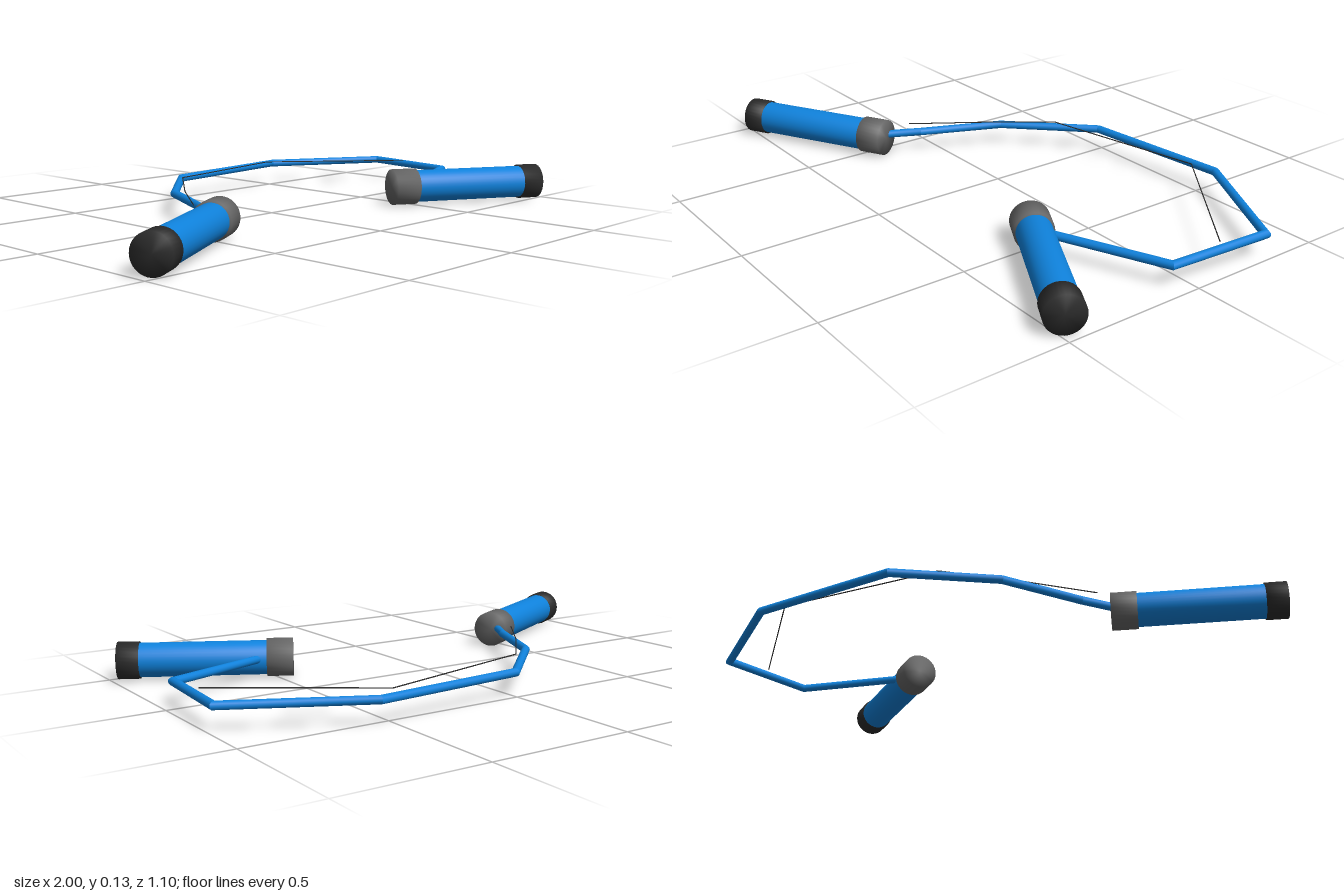
import * as THREE from 'three';
import { mergeVertices } from 'three/addons/utils/BufferGeometryUtils.js';

const material = (name, color) => {
  const m = new THREE.MeshStandardMaterial({ color });
  m.name = name;
  return m;
};

// Mitred polyline tube with closed ends; points are [x, y, z]
function polyTube(points, r, sides) {
  const P = points.map((p) => new THREE.Vector3(...p));
  const up = new THREE.Vector3(0, 1, 0);
  const dirs = P.slice(1).map((p, i) => p.clone().sub(P[i]).normalize());
  const pos = [], index = [];
  const ring = (i, radius) => {
    const d0 = dirs[Math.max(i - 1, 0)], d1 = dirs[Math.min(i, dirs.length - 1)];
    const t = d0.clone().add(d1).normalize();
    const side = up.clone().cross(t).normalize();
    const miter = 1 / t.dot(d1);
    for (let j = 0; j < sides; j++) {
      const a = (j / sides) * Math.PI * 2;
      const v = P[i].clone().addScaledVector(side, Math.cos(a) * radius * miter)
        .addScaledVector(up, Math.sin(a) * radius);
      pos.push(v.x, v.y, v.z);
    }
  };
  const span = (i0, r0, i1, r1) => {
    const s = pos.length / 3;
    ring(i0, r0);
    ring(i1, r1);
    for (let j = 0; j < sides; j++) {
      const k = (j + 1) % sides;
      index.push(s + j, s + k, s + sides + j, s + k, s + sides + k, s + sides + j);
    }
  };
  const last = P.length - 1;
  span(0, 0, 0, r);
  for (let i = 0; i < last; i++) span(i, r, i + 1, r);
  span(last, r, last, 0);
  const g = new THREE.BufferGeometry();
  g.setAttribute('position', new THREE.Float32BufferAttribute(pos, 3));
  g.setIndex(index);
  g.computeVertexNormals();
  return g;
}

// Cylinder along local x with normals shared across its rims
function softCylinder(r, from, to) {
  let g = new THREE.CylinderGeometry(r, r, to - from, 32);
  g.rotateZ(-Math.PI / 2).translate((from + to) / 2, 0, 0);
  g.deleteAttribute('normal');
  g.deleteAttribute('uv');
  g = mergeVertices(g, 1e-5);
  g.computeVertexNormals();
  return g;
}

export function createModel() {
  const blue = material('blue plastic', 0x0f82dc);
  const grey = material('grey collar', 0x666666);
  const black = material('black rubber', 0x2b2b2b);
  const model = new THREE.Group();
  model.name = 'skippingRope';
  const add = (parent, name, geometry, mat) => {
    const mesh = new THREE.Mesh(geometry, mat);
    mesh.name = name;
    parent.add(mesh);
  };

  // Two handles, mirrored, each running inward from its end cap
  for (const side of [-1, 1]) {
    const handle = new THREE.Group();
    handle.name = side < 0 ? 'rightHandle' : 'leftHandle';
    handle.position.set(side * 0.968, 0.068, 0.49);
    handle.rotation.y = side < 0 ? 0.503 : Math.PI - 0.503;
    add(handle, 'endCap', softCylinder(0.065, 0, 0.075), black);
    add(handle, 'grip', softCylinder(0.06, 0.06, 0.53), blue);
    add(handle, 'collar', softCylinder(0.067, 0.51, 0.602), grey);
    model.add(handle);
  }

  // Main cord, ends sunk into the handles
  add(model, 'cord', polyTube([
    [-0.48, 0.07, 0.21], [-0.40, 0.075, 0.07], [-0.273, 0.078, -0.217],
    [-0.005, 0.08, -0.484], [0.55, 0.082, -0.537], [0.979, 0.08, -0.307],
    [0.947, 0.075, 0.061], [0.5, 0.07, 0.245],
  ], 0.0145, 12), blue);

  // Fine strand lying just above the cord
  add(model, 'strand', polyTube([
    [-0.455, 0.094, 0.088], [-0.3, 0.098, -0.13], [-0.112, 0.105, -0.356],
    [0.478, 0.098, -0.492], [0.947, 0.094, -0.136],
  ], 0.002, 6), black);

  return model;
}
